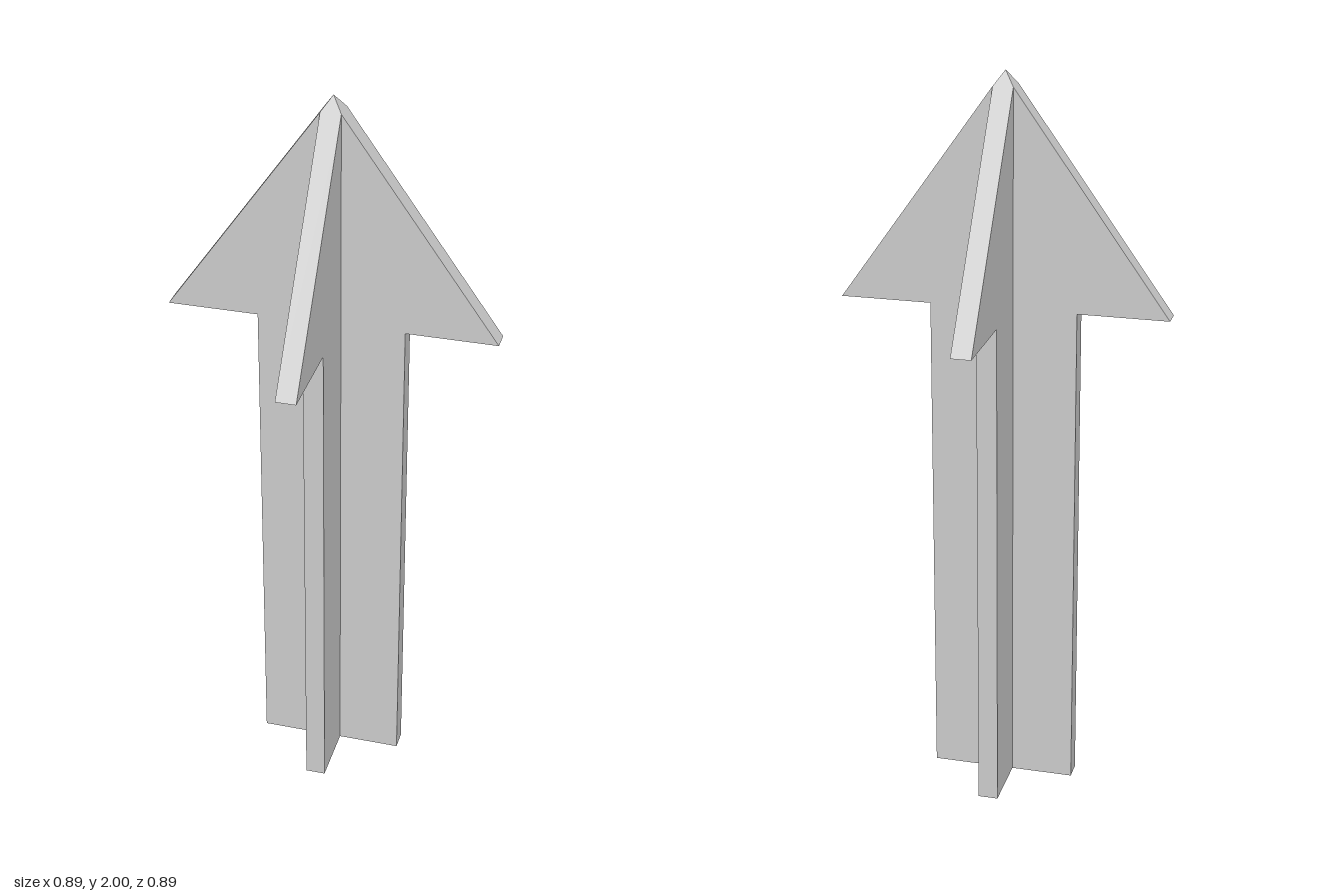
import * as THREE from 'three';

const HEIGHT = 2;          // tip
const HEAD_Y = 1.377;      // underside of the arrow head
const HEAD_R = 0.443;      // reach of the head
const SHAFT_R = 0.198;     // reach of the shaft
const T = 0.027;           // half the plate thickness
const SHOULDER = HEIGHT - T * (HEIGHT - HEAD_Y) / HEAD_R; // where the fins meet the tip

export function createModel() {
  const model = new THREE.Group();
  model.name = 'crossedArrow';
  const material = new THREE.MeshStandardMaterial({ color: 0xcccccc, flatShading: true });

  // Half-arrow fin, running outwards from the core
  const outline = new THREE.Shape([
    [T, 0], [SHAFT_R, 0], [SHAFT_R, HEAD_Y], [HEAD_R, HEAD_Y], [T, SHOULDER],
  ].map(([x, y]) => new THREE.Vector2(x, y)));
  const finGeometry = new THREE.ExtrudeGeometry(outline, { depth: 2 * T, bevelEnabled: false });
  finGeometry.translate(0, 0, -T);

  // Four fins around the upright axis
  ['leftFin', 'backFin', 'rightFin', 'frontFin'].forEach((name, i) => {
    const fin = new THREE.Mesh(finGeometry, material);
    fin.name = name;
    fin.rotation.y = i * Math.PI / 2;
    model.add(fin);
  });

  // Square core ending in a pyramid tip, so the sloping edges meet in a mitre
  const r = T * Math.SQRT2;
  const profile = [[0, 0], [r, 0], [r, SHOULDER], [0, HEIGHT]].map(([x, y]) => new THREE.Vector2(x, y));
  const core = new THREE.Mesh(new THREE.LatheGeometry(profile, 4, Math.PI / 4), material);
  core.name = 'core';
  model.add(core);

  return model;
}
